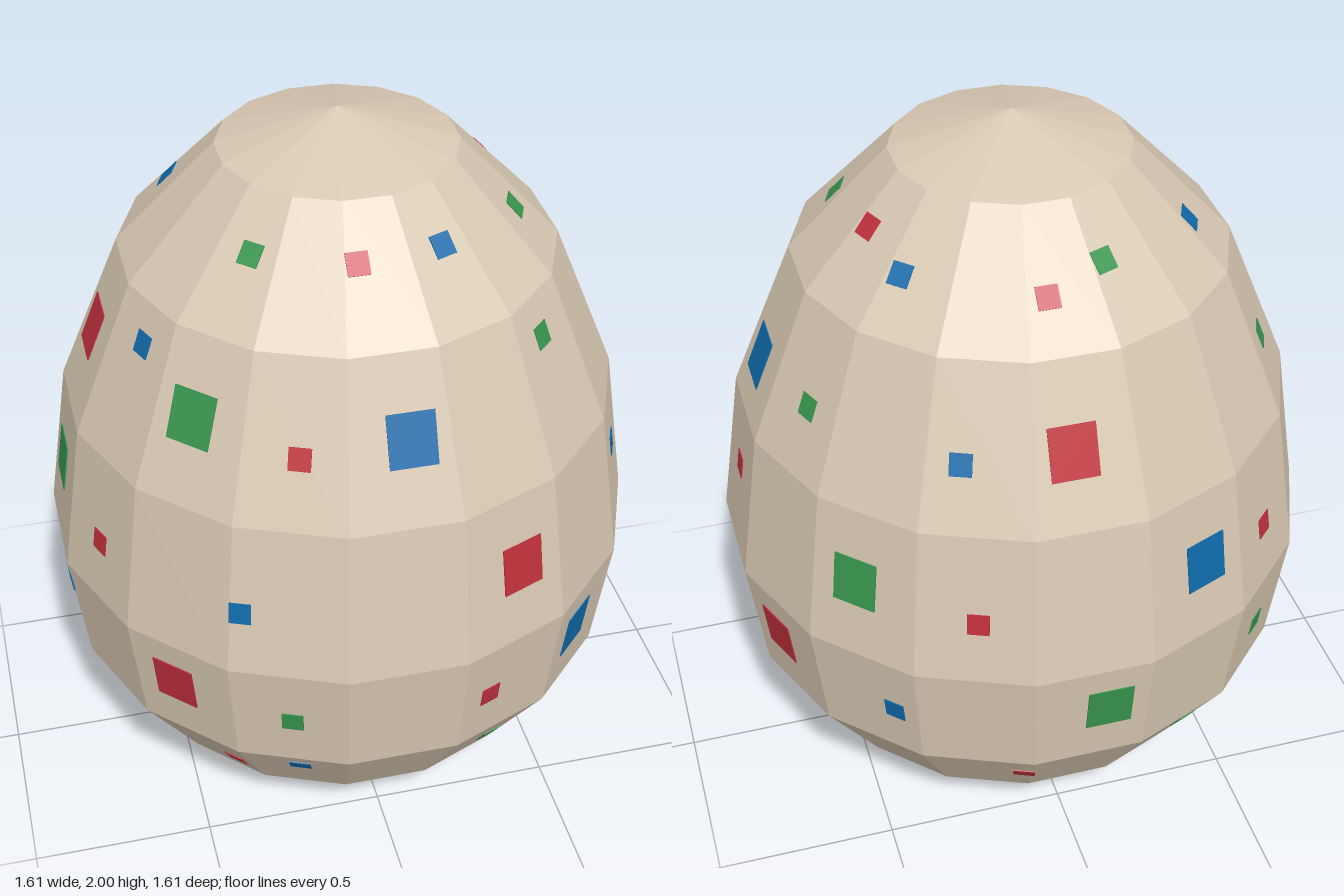
import * as THREE from 'three';

const SIDES = 16;
const STEP = (Math.PI * 2) / SIDES;
// egg profile: [corner radius, height]
const PROFILE = [[0, 0], [0.316, 0.05], [0.596, 0.17], [0.775, 0.44], [0.82, 0.78],
  [0.755, 1.21], [0.583, 1.625], [0.316, 1.905], [0, 2]];

// painted squares: [colour, angle around the egg in degrees from the front, height]
const BIG = [
  ['blue', 2.6, 1.42], ['blue', 87.5, 1.355], ['red', 177.4, 1.405], ['red', 267, 1.415], ['green', -46.9, 1.425],
  ['red', 24.6, 1.0], ['green', 133, 1.0], ['blue', 204.8, 1.0], ['green', 267.4, 1.0],
  ['blue', 43, 0.63], ['red', 110, 0.63], ['green', 183.5, 0.63], ['blue', 245, 0.63], ['red', -47, 0.63],
];
const SMALL = [
  ['red', -6.9, 1.79], ['blue', 24.4, 1.79], ['green', 69.4, 1.745], ['red', 106.5, 1.79], ['blue', 128.5, 1.745],
  ['red', 175, 1.735], ['green', 195.7, 1.78], ['blue', 241.8, 1.74], ['green', -43.6, 1.785],
  ['red', -21.4, 1.385], ['green', 44, 1.525], ['green', 114.1, 1.385], ['blue', 153.6, 1.38],
  ['green', 245.9, 1.38], ['blue', -66.4, 1.525],
  ['blue', -31.8, 0.96], ['blue', 67.8, 1.03], ['red', 90, 1.03], ['red', 158, 0.955],
  ['red', 224.7, 0.955], ['red', 292.6, 0.955],
  ['green', -22.2, 0.6], ['red', 17.8, 0.6], ['green', 67.7, 0.53], ['blue', 141, 0.6],
  ['green', 225, 0.6], ['blue', 279.5, 0.71],
  ['blue', -21.7, 0.37], ['red', -39, 0.28], ['green', 27, 0.28], ['red', 72, 0.235], ['blue', 90, 0.325],
  ['green', 113, 0.325], ['red', 167, 0.325], ['green', 207, 0.36], ['red', 246, 0.29],
];

function makeMaterial(name, color) {
  const m = new THREE.MeshStandardMaterial({ color });
  m.name = name;
  return m;
}

// matrix that lays a plate flat on the facet found at this angle and height
function facetMatrix(degrees, y) {
  const a = THREE.MathUtils.degToRad(degrees);
  const mid = Math.round(a / STEP) * STEP;
  const i = PROFILE.findIndex((p) => p[1] > y);
  const [r0, y0] = PROFILE[i - 1];
  const [r1, y1] = PROFILE[i];
  const flat = Math.cos(STEP / 2);
  const apothem = flat * THREE.MathUtils.mapLinear(y, y0, y1, r0, r1);
  const out = new THREE.Vector3(Math.sin(mid), 0, Math.cos(mid));
  const side = new THREE.Vector3(Math.cos(mid), 0, -Math.sin(mid));
  const up = out.clone().multiplyScalar((r1 - r0) * flat).setY(y1 - y0).normalize();
  const normal = side.clone().cross(up);
  const pos = out.clone().multiplyScalar(apothem).addScaledVector(side, apothem * Math.tan(a - mid)).setY(y);
  return new THREE.Matrix4().makeBasis(side, up, normal).setPosition(pos);
}

export function createModel() {
  const group = new THREE.Group();
  group.name = 'paintedEgg';
  const shellMaterial = makeMaterial('shell cream', 0xd9c9b3);
  const paints = {
    red: makeMaterial('paint red', 0xc0303b),
    green: makeMaterial('paint green', 0x38964f),
    blue: makeMaterial('paint blue', 0x106bab),
  };

  // faceted shell, with a flat facet facing the front
  const points = PROFILE.map(([r, y]) => new THREE.Vector2(r, y));
  const shellGeometry = new THREE.LatheGeometry(points, SIDES, STEP / 2).toNonIndexed();
  shellGeometry.computeVertexNormals();
  const shell = new THREE.Mesh(shellGeometry, shellMaterial);
  shell.name = 'shell';
  group.add(shell);

  // painted squares as thin plates
  const addPlates = (name, list, geometry) => {
    const plates = new THREE.Group();
    plates.name = name;
    for (const [color, degrees, y] of list) {
      const plate = new THREE.Mesh(geometry, paints[color]);
      plate.name = `${color} square`;
      plate.applyMatrix4(facetMatrix(degrees, y));
      plates.add(plate);
    }
    group.add(plates);
  };
  addPlates('largeSquares', BIG, new THREE.BoxGeometry(0.125, 0.14, 0.006));
  addPlates('smallSquares', SMALL, new THREE.BoxGeometry(0.058, 0.06, 0.006));

  return group;
}
